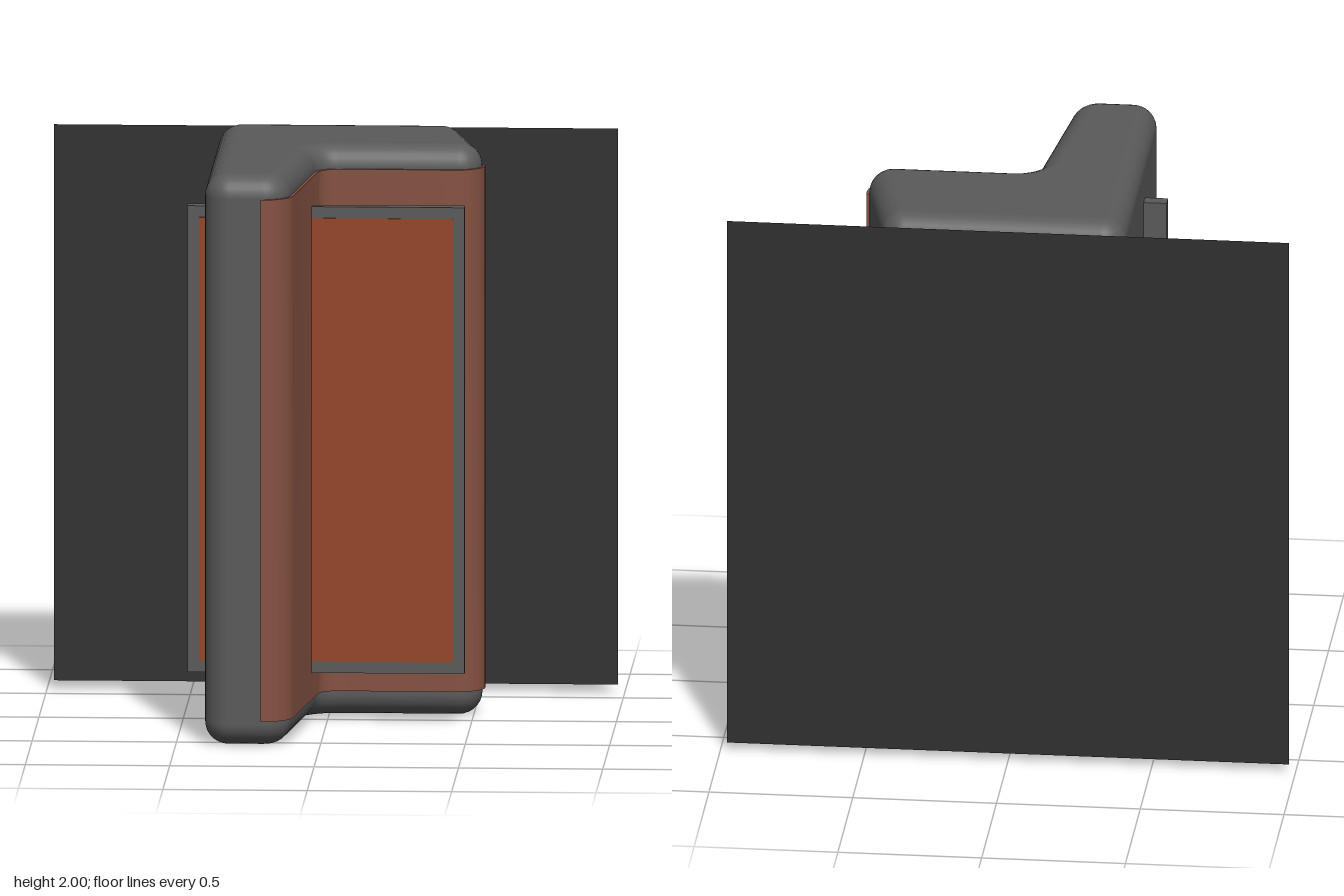
import * as THREE from 'three';
import { mergeGeometries, toCreasedNormals } from 'three/addons/utils/BufferGeometryUtils.js';

const mat = (name, color, side = THREE.FrontSide) => {
  const m = new THREE.MeshStandardMaterial({ color, side });
  m.name = name;
  return m;
};

// Rounds the corners [x, z, radius]; returns per-corner arcs of points with outward normals
function roundedProfile(corners, steps = 8) {
  const n = corners.length;
  const dir = (a, b) => new THREE.Vector2(b[0] - a[0], b[1] - a[1]).normalize();
  return corners.map((p, i) => {
    const u = dir(corners[(i + n - 1) % n], p), v = dir(p, corners[(i + 1) % n]);
    const n1 = new THREE.Vector2(u.y, -u.x), n2 = new THREE.Vector2(v.y, -v.x);
    const r = p[2] * Math.sign(u.cross(v)); // negative on the inner corner
    const c = n1.clone().add(n2).multiplyScalar(-r / (1 + n1.dot(n2)));
    return Array.from({ length: steps + 1 }, (_, k) => {
      const nor = n1.clone().lerp(n2, k / steps).normalize();
      return { x: p[0] + c.x + r * nor.x, z: p[1] + c.y + r * nor.y, nx: nor.x, nz: nor.y };
    });
  });
}

const offset = (pts, d) => pts.map((p) => [p.x + p.nx * d, p.z + p.nz * d]);

// Upright prism from [x, z] outline points
function prism(outline, y0, y1) {
  const shape = new THREE.Shape(outline.map(([x, z]) => new THREE.Vector2(x, -z)));
  const g = new THREE.ExtrudeGeometry(shape, { depth: y1 - y0, bevelEnabled: false });
  return g.rotateX(-Math.PI / 2).translate(0, y0, 0);
}

// Solid with a rounded profile and rounded top and bottom rims
function softPrism(pts, height, rim, steps = 7) {
  const rings = [];
  for (const s of [-1, 1]) {
    for (let k = 0; k <= steps; k++) {
      const a = (s < 0 ? k - steps : k) / steps * Math.PI / 2;
      rings.push({ a, d: rim * (Math.cos(a) - 1), y: (s < 0 ? rim : height - rim) + rim * Math.sin(a) });
    }
  }
  const pos = [], nor = [], uv = [], idx = [], n = pts.length;
  rings.forEach(({ a, d, y }, r) => pts.forEach((p, i) => {
    pos.push(p.x + p.nx * d, y, p.z + p.nz * d);
    nor.push(p.nx * Math.cos(a), Math.sin(a), p.nz * Math.cos(a));
    uv.push(i / n, y / height);
    if (r < rings.length - 1) {
      const j = (i + 1) % n, lo = r * n, up = lo + n;
      idx.push(lo + i, up + j, lo + j, lo + i, up + i, up + j);
    }
  }));
  const wall = new THREE.BufferGeometry();
  wall.setAttribute('position', new THREE.Float32BufferAttribute(pos, 3));
  wall.setAttribute('normal', new THREE.Float32BufferAttribute(nor, 3));
  wall.setAttribute('uv', new THREE.Float32BufferAttribute(uv, 2));
  wall.setIndex(idx);
  const cap = (s) => new THREE.ShapeGeometry(
    new THREE.Shape(offset(pts, -rim).map(([x, z]) => new THREE.Vector2(x, -s * z))),
  ).rotateX(-s * Math.PI / 2).translate(0, s > 0 ? height : 0, 0);
  return mergeGeometries([wall, cap(1), cap(-1)]);
}

export function createModel() {
  const group = new THREE.Group();
  const grey = mat('grey casing', 0x5a5a5a);
  const dark = mat('dark backing', 0x303030, THREE.DoubleSide);
  const orange = mat('orange panel', 0x944524);
  const rust = mat('rust lining', 0x845141);

  const add = (name, geometry, material) => {
    const m = new THREE.Mesh(geometry, material);
    m.name = name;
    group.add(m);
    return m;
  };
  const box = (name, x0, x1, y0, y1, z0, z1, material) => {
    const m = add(name, new THREE.BoxGeometry(x1 - x0, y1 - y0, z1 - z0), material);
    m.position.set((x0 + x1) / 2, (y0 + y1) / 2, (z0 + z1) / 2);
  };

  // L-shaped casing
  const arcs = roundedProfile([
    [-0.4, -0.58, 0.085], [0.435, -0.58, 0.085], [0.55, -0.07, 0.085],
    [-0.035, -0.07, 0.08], [-0.115, 0.595, 0.1], [-0.4, 0.595, 0.085],
  ]);
  add('casing', softPrism(arcs.flat(), 2, 0.078), grey);

  // Lining wrapped over the inner side of the L
  const inner = arcs.slice(2, 5).flat();
  const strip = [...offset(inner, 0.01), ...offset(inner, -0.01).reverse()];
  add('lining', toCreasedNormals(prism(strip, 0.09, 1.92), 0.6), rust);

  // Framed panel passing through the arm
  box('panelFrame', -0.48, 0.48, 0.185, 1.82, 0.102, 0.132, grey);
  box('panelFace', -0.44, 0.44, 0.225, 1.78, 0.13, 0.134, orange);
  for (const s of [-1, 1]) {
    for (const [y0, y1] of [[0.185, 0.76], [1.25, 1.82]]) {
      box('panelBackPad', s < 0 ? -0.48 : 0.13, s < 0 ? -0.13 : 0.48, y0, y1, 0.086, 0.102, grey);
    }
  }

  // Panel brackets and wall bars, one pair at each height
  const bracket = [
    [-0.24, -0.2], [-0.06, -0.2], [-0.06, 0.03], [0, 0.052], [0.06, 0.03],
    [0.06, -0.2], [0.24, -0.2], [0.24, 0.09], [-0.24, 0.09],
  ];
  const bar = [[-0.44, -0.61], [0.435, -0.61], [0.418, -0.53], [-0.423, -0.53]];
  for (const y of [0.34, 1.6]) {
    add('panelBracket', prism(bracket, y, y + 0.07), grey);
    add('wallBar', prism(bar, y, y + 0.07), grey);
  }

  // Upright wall rails and their end blocks
  for (const s of [-1, 1]) {
    box('wallRail', s * 0.155 - 0.015, s * 0.155 + 0.015, 0.36, 1.65, -0.605, -0.575, grey);
  }
  for (const y of [0.29, 1.67]) box('railEnd', -0.17, 0.17, y, y + 0.05, -0.61, -0.585, grey);

  // Backing sheet
  const sheet = add('backingSheet', new THREE.PlaneGeometry(1.955, 1.95), dark);
  sheet.position.set(0, 1.003, -0.612);
  return group;
}
